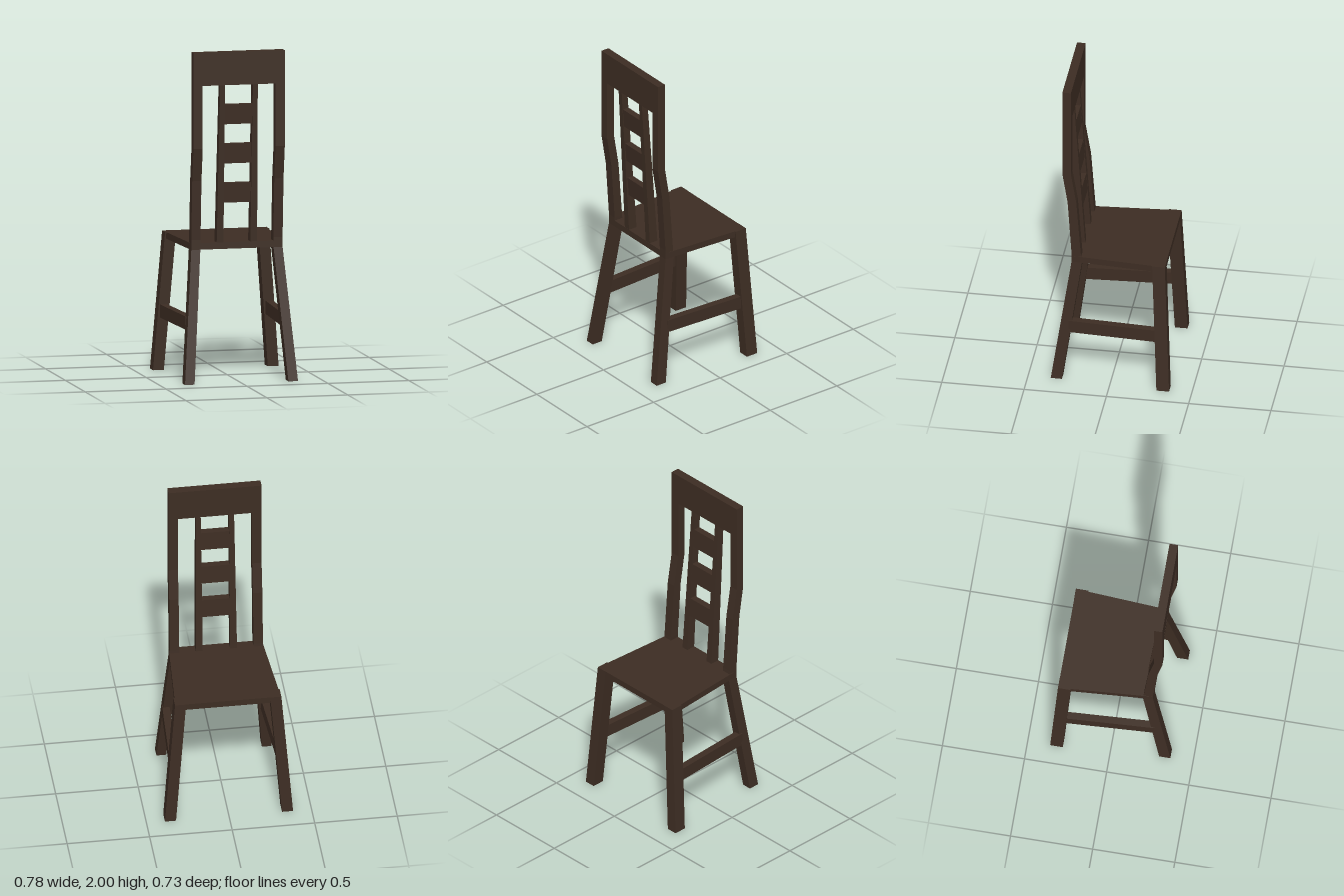
import * as THREE from 'three';

// Four-cornered cross-sections, horizontal (at y) or vertical (at z); side -1 mirrors in x
const flat = (y, xa, xb, z0, z1, side = 1) => {
  const x0 = Math.min(xa * side, xb * side), x1 = Math.max(xa * side, xb * side);
  return [[x0, y, z1], [x1, y, z1], [x1, y, z0], [x0, y, z0]];
};
const upright = (z, xa, xb, y0, y1, side = 1) => {
  const x0 = Math.min(xa * side, xb * side), x1 = Math.max(xa * side, xb * side);
  return [[x0, y0, z], [x1, y0, z], [x1, y1, z], [x0, y1, z]];
};

// Closed beam through a list of cross-sections
function beam(rings) {
  const pos = [];
  const quad = (a, b, c, d) => pos.push(...a, ...b, ...c, ...a, ...c, ...d);
  for (let r = 0; r < rings.length - 1; r++) {
    const lo = rings[r], hi = rings[r + 1];
    for (let i = 0; i < 4; i++) {
      const j = (i + 1) % 4;
      quad(lo[i], lo[j], hi[j], hi[i]);
    }
  }
  quad(...[...rings[0]].reverse());
  quad(...rings[rings.length - 1]);
  const geo = new THREE.BufferGeometry();
  geo.setAttribute('position', new THREE.Float32BufferAttribute(pos, 3));
  geo.computeVertexNormals();
  return geo;
}

export function createModel() {
  const chair = new THREE.Group();
  chair.name = 'chair';
  const wood = new THREE.MeshStandardMaterial({ color: 0x3d2d23 });
  wood.name = 'darkWood';
  const add = (name, rings) => {
    const mesh = new THREE.Mesh(beam(rings), wood);
    mesh.name = name;
    chair.add(mesh);
  };

  // Tapered seat board
  add('seat', [
    upright(-0.326, -0.32, 0.32, 0.8, 0.84),
    upright(0.246, -0.282, 0.282, 0.8, 0.84),
  ]);

  // Crest rail across the top of the backrest
  add('crestRail', [
    flat(1.8, -0.282, 0.282, 0.25, 0.302),
    flat(2, -0.282, 0.282, 0.25, 0.302),
  ]);

  for (const s of [1, -1]) {
    const side = s > 0 ? 'left' : 'right';

    // Splayed leg running up into the bent backrest post
    add(side + 'PostLeg', [
      flat(0, 0.29, 0.349, 0.294, 0.362, s),
      flat(0.8, 0.226, 0.282, 0.183, 0.246, s),
      flat(0.86, 0.225, 0.282, 0.19, 0.246, s),
      flat(1.22, 0.225, 0.282, 0.217, 0.27, s),
      flat(1.42, 0.225, 0.282, 0.25, 0.302, s),
      flat(1.8, 0.225, 0.282, 0.25, 0.302, s),
    ]);

    // Splayed leg under the open edge of the seat
    add(side + 'SeatLeg', [
      flat(0, 0.321, 0.388, -0.363, -0.286, s),
      flat(0.84, 0.255, 0.322, -0.327, -0.25, s),
    ]);

    // Side stretcher between the legs
    add(side + 'Stretcher', [
      upright(-0.29, 0.305, 0.349, 0.32, 0.4, s),
      upright(0.26, 0.276, 0.32, 0.32, 0.4, s),
    ]);

    // Leaning inner upright of the backrest
    add(side + 'Slat', [
      flat(0.82, 0.083, 0.125, 0.187, 0.244, s),
      flat(1.81, 0.086, 0.116, 0.257, 0.299, s),
    ]);
  }

  // Ladder rails between the inner uprights, following their lean
  const rear = (y) => 0.19 + 0.07 * (y - 0.84);
  for (const y of [1.08, 1.32, 1.56]) {
    add('ladderRail', [y, y + 0.12].map((h) => flat(h, -0.09, 0.09, rear(h), rear(h) + 0.04)));
  }
  return chair;
}
